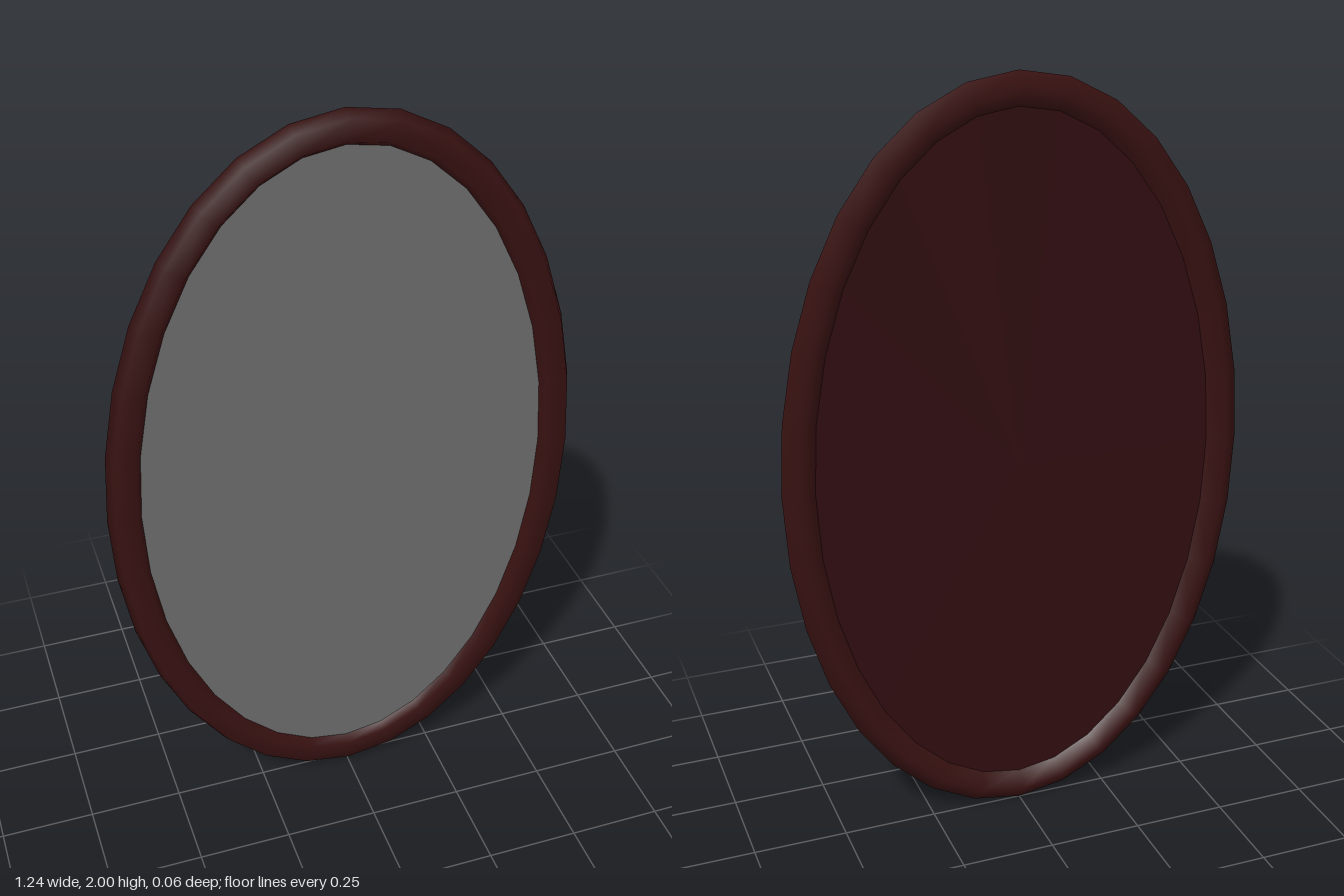
import * as THREE from 'three';

const A = 0.537, B = 0.915, SEGMENTS = 32; // inner oval radii

// Sweeps a closed profile of [outward offset, z] points around the oval.
function ovalRing(profile) {
  const positions = [], index = [], n = profile.length;
  for (let i = 0; i < SEGMENTS; i++) {
    const t = (i / SEGMENTS) * Math.PI * 2;
    const normal = new THREE.Vector2(Math.cos(t) / A, Math.sin(t) / B).normalize();
    for (let j = 0; j < n; j++) {
      const [d, z] = profile[j];
      positions.push(A * Math.cos(t) + normal.x * d, B * Math.sin(t) + normal.y * d, z);
      const next = ((i + 1) % SEGMENTS) * n, k = (j + 1) % n;
      index.push(i * n + j, next + j, next + k, i * n + j, next + k, i * n + k);
    }
  }
  const geometry = new THREE.BufferGeometry();
  geometry.setAttribute('position', new THREE.Float32BufferAttribute(positions, 3));
  geometry.setIndex(index);
  geometry.computeVertexNormals();
  return geometry;
}

export function createModel() {
  const darkWood = new THREE.MeshStandardMaterial({ color: 0x381111 });
  darkWood.name = 'darkWood';
  const backWood = new THREE.MeshStandardMaterial({ color: 0x300d10 });
  backWood.name = 'backWood';
  const mirrorGrey = new THREE.MeshStandardMaterial({ color: 0x6c6c6c });
  mirrorGrey.name = 'mirrorGrey';

  const group = new THREE.Group();
  group.name = 'ovalMirror';
  const add = (name, geometry, material) => {
    const mesh = new THREE.Mesh(geometry, material);
    mesh.name = name;
    mesh.position.y = 1;
    group.add(mesh);
  };

  // Frame: faceted moulding with an outer ridge and a bevelled back
  add('frame', ovalRing([
    [0.085, 0], [0.07, 0.032], [0.015, 0.032], [0, 0.01], [0, 0], [0.043, -0.032],
  ]), darkWood);

  // Mirror glass and the backing board just behind it
  const oval = () => new THREE.CircleGeometry(1, SEGMENTS).scale(A, B, 1);
  add('mirrorGlass', oval().translate(0, 0, 0.01), mirrorGrey);
  add('backBoard', oval().rotateY(Math.PI), backWood);

  return group;
}
